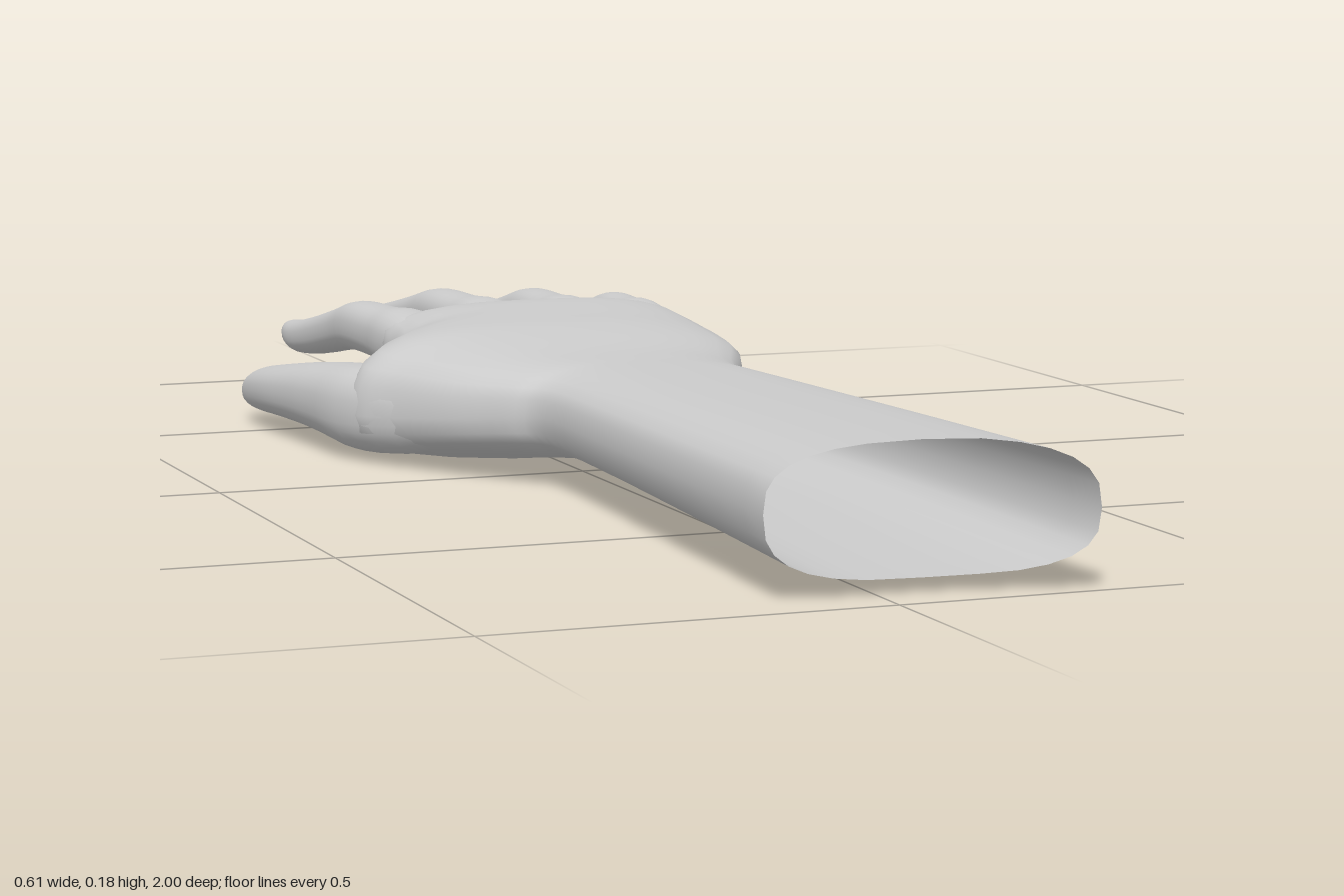
import * as THREE from 'three';

const SIDES = 28;
const material = new THREE.MeshStandardMaterial({ color: 0xcccccc, side: THREE.DoubleSide });

// Smooth in-between values along a list of numbers
function catmull(a, b, c, d, t) {
  const u = (c - a) / 2, v = (d - b) / 2;
  return b + u * t + (3 * (c - b) - 2 * u - v) * t * t + (2 * (b - c) + u + v) * t * t * t;
}

function refine(stations, steps) {
  const out = [], last = stations.length - 1;
  for (let i = 0; i < last; i++) {
    const [p, q, r, s] = [stations[Math.max(i - 1, 0)], stations[i], stations[i + 1], stations[Math.min(i + 2, last)]];
    for (let k = 0; k < steps; k++) out.push(q.map((_, n) => catmull(p[n], q[n], r[n], s[n], k / steps)));
  }
  out.push(stations[last]);
  return out;
}

// Skin over rounded sections: [z, left x, right x, bottom, top, y of left edge, y of right edge]
// The first ring stays open, the last one closes to a point.
function loft(name, stations, { squareness = 0.8, steps = 3, bend = null } = {}) {
  const rings = refine(stations, steps), pos = [], index = [];
  const pow = (v) => Math.sign(v) * Math.abs(v) ** squareness;
  for (const [z, x0, x1, y0, y1, yl, yr] of rings) {
    for (let j = 0; j < SIDES; j++) {
      const a = (j / SIDES) * Math.PI * 2, c = pow(Math.cos(a)), s = pow(Math.sin(a));
      const x = (x0 + x1) / 2 + ((x1 - x0) / 2) * c;
      const edge = yl + ((yr - yl) * (c + 1)) / 2;
      const y = edge + (s > 0 ? Math.max(y1 - edge, 0) : Math.max(edge - y0, 0)) * s;
      pos.push(x, y, bend ? bend(x, z) : z);
    }
  }
  for (let i = 0; i < rings.length - 1; i++) {
    for (let j = 0; j < SIDES; j++) {
      const k = (j + 1) % SIDES, a = i * SIDES + j, b = i * SIDES + k;
      index.push(a, a + SIDES, b, b, a + SIDES, b + SIDES);
    }
  }
  const [z, x0, x1, y0, y1] = rings[rings.length - 1];
  const tip = pos.length / 3, base = tip - SIDES;
  pos.push((x0 + x1) / 2, (y0 + y1) / 2, z);
  for (let j = 0; j < SIDES; j++) index.push(base + j, tip, base + ((j + 1) % SIDES));

  const geometry = new THREE.BufferGeometry();
  geometry.setAttribute('position', new THREE.Float32BufferAttribute(pos, 3));
  geometry.setIndex(index);
  geometry.computeVertexNormals();
  const mesh = new THREE.Mesh(geometry, material);
  mesh.name = name;
  return mesh;
}

// Digit from centres and half sizes: [z, x, y, half width, half height]
function digit(name, points) {
  return loft(name, points.map(([z, x, y, w, h]) => [z, x - w, x + w, y - h, y + h, y, y]), { squareness: 0.85 });
}

// Finger that rises to the middle knuckle and droops towards the tip
function finger(name, baseX, midX, tipX, tipZ, lift, size) {
  const z0 = -0.45, at = (t) => z0 + (tipZ - z0) * t;
  return digit(name, [
    [-0.34, baseX, 0.135 + lift, 0.04 * size, 0.035],
    [at(0), baseX, 0.138 + lift, 0.048 * size, 0.044],
    [at(0.14), (baseX + midX) / 2, 0.14 + lift, 0.04 * size, 0.038],
    [at(0.34), midX, 0.14 + lift, 0.037 * size, 0.036],
    [at(0.5), midX, 0.126 + lift, 0.035 * size, 0.032],
    [at(0.7), (midX + tipX) / 2, 0.106 + lift, 0.032 * size, 0.029],
    [at(0.86), tipX, 0.094 + lift, 0.029 * size, 0.025],
    [at(0.95), tipX, 0.094 + lift, 0.025 * size, 0.02],
    [at(0.985), tipX, 0.098 + lift, 0.018 * size, 0.013],
    [at(1), tipX, 0.102 + lift, 0.008 * size, 0.005],
  ]);
}

export function createModel() {
  const hand = new THREE.Group();
  hand.name = 'hand';

  // Open forearm with a slanted end, running through the wrist into the palm
  const slant = (x, z) => z + Math.max(0, (x - 0.1) / 0.15) * 0.06 * THREE.MathUtils.smoothstep(z, 0.6, 0.94);
  hand.add(loft('forearmAndPalm', [
    [0.94, -0.14, 0.25, 0.022, 0.18, 0.105, 0.1],
    [0.6, -0.123, 0.237, 0.03, 0.173, 0.102, 0.1],
    [0.3, -0.107, 0.225, 0.034, 0.167, 0.1, 0.1],
    [0.14, -0.107, 0.215, 0.036, 0.165, 0.1, 0.1],
    [0.08, -0.14, 0.213, 0.034, 0.165, 0.095, 0.105],
    [0, -0.19, 0.228, 0.025, 0.168, 0.085, 0.11],
    [-0.1, -0.237, 0.272, 0.01, 0.178, 0.075, 0.115],
    [-0.17, -0.268, 0.283, 0.005, 0.184, 0.072, 0.12],
    [-0.24, -0.235, 0.29, 0.015, 0.186, 0.08, 0.122],
    [-0.31, -0.165, 0.294, 0.034, 0.188, 0.1, 0.125],
    [-0.37, -0.144, 0.297, 0.055, 0.189, 0.12, 0.128],
    [-0.42, -0.142, 0.298, 0.078, 0.184, 0.13, 0.13],
    [-0.44, -0.13, 0.285, 0.1, 0.17, 0.135, 0.132],
    [-0.45, -0.11, 0.265, 0.125, 0.145, 0.135, 0.135],
  ], { squareness: 0.7, steps: 4, bend: slant }));

  // Thumb, growing out of the side of the palm
  hand.add(digit('thumb', [
    [0, -0.14, 0.085, 0.03, 0.03],
    [-0.1, -0.187, 0.077, 0.05, 0.052],
    [-0.2, -0.223, 0.073, 0.058, 0.058],
    [-0.3, -0.232, 0.072, 0.06, 0.052],
    [-0.38, -0.245, 0.07, 0.054, 0.045],
    [-0.47, -0.256, 0.064, 0.05, 0.038],
    [-0.55, -0.261, 0.056, 0.043, 0.033],
    [-0.595, -0.262, 0.05, 0.036, 0.026],
    [-0.618, -0.262, 0.048, 0.025, 0.017],
    [-0.625, -0.262, 0.048, 0.01, 0.007],
  ]));

  // Four fingers
  [
    ['indexFinger', -0.094, -0.108, -0.116, -0.945, -0.008, 1],
    ['middleFinger', 0.023, 0.018, 0.013, -1, 0.003, 1],
    ['ringFinger', 0.147, 0.153, 0.151, -0.945, 0, 1],
    ['littleFinger', 0.256, 0.27, 0.268, -0.872, -0.008, 0.92],
  ].forEach((f) => hand.add(finger(...f)));

  return hand;
}
